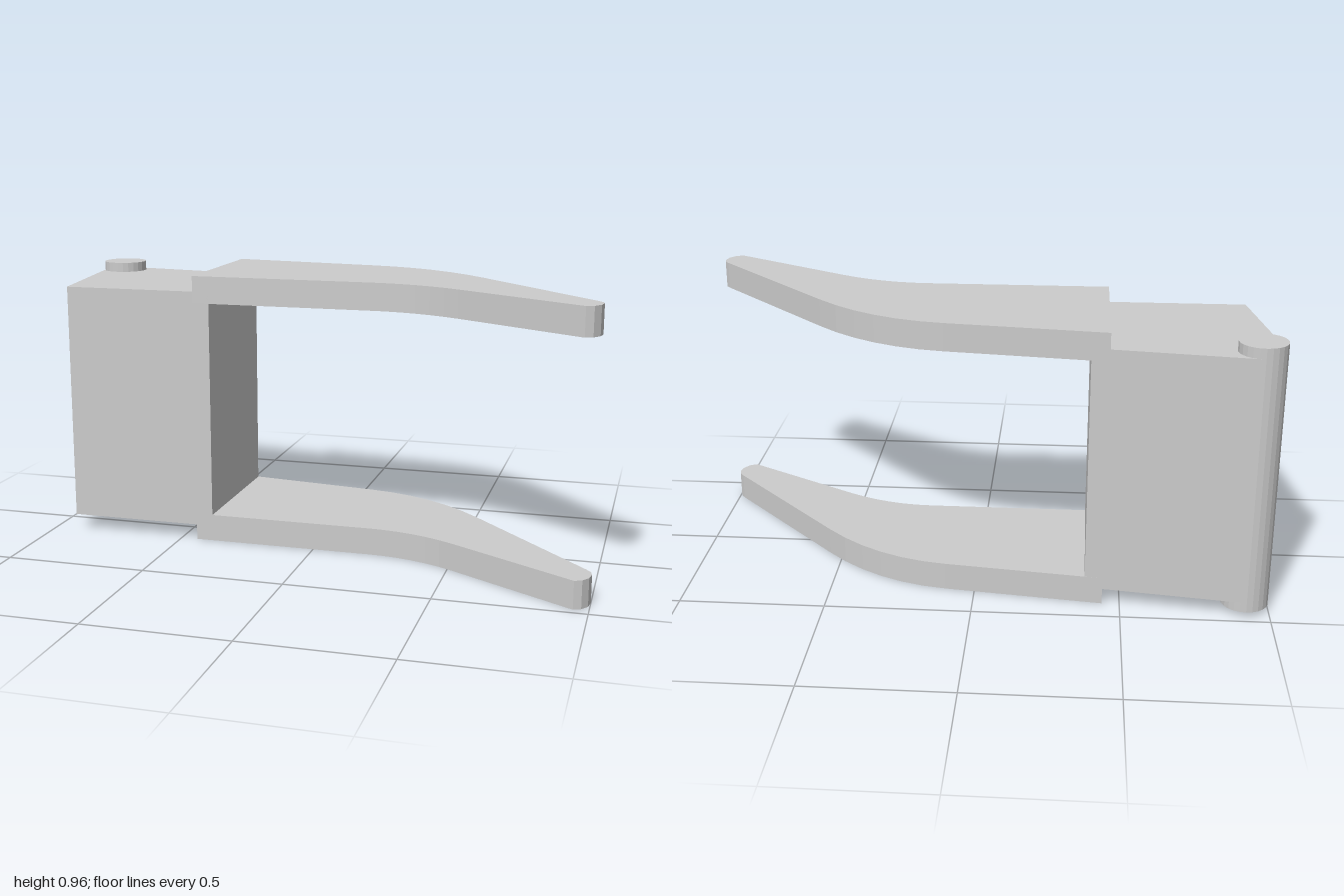
import * as THREE from 'three';

const material = new THREE.MeshStandardMaterial({ color: 0xcccccc, flatShading: true });

// Extrude a plan outline (x, -z) upward from y0 to y1
function slab(name, shape, y0, y1) {
  const geometry = new THREE.ExtrudeGeometry(shape, { depth: y1 - y0, bevelEnabled: false, curveSegments: 6 });
  geometry.rotateX(-Math.PI / 2).translate(0, y0, 0);
  const mesh = new THREE.Mesh(geometry, material);
  mesh.name = name;
  return mesh;
}

export function createModel() {
  const group = new THREE.Group();
  group.name = 'hingedFork';

  // Block at the hinge end, its back corner wrapped by the pin
  const block = new THREE.Shape();
  block.moveTo(-0.92, -0.13);
  block.lineTo(-0.38, -0.13);
  block.lineTo(-0.38, 0.403);
  block.lineTo(-0.91, 0.474);
  block.lineTo(-0.92, 0.395);
  block.lineTo(-0.999, 0.383);
  block.closePath();
  group.add(slab('hingeBlock', block, 0.055, 0.91));

  // Curved prong with a rounded tip
  const prong = new THREE.Shape();
  prong.moveTo(-0.44, -0.13);
  prong.lineTo(0.2, -0.13);
  prong.quadraticCurveTo(0.365, -0.13, 0.52, -0.22);
  prong.lineTo(0.95, -0.473);
  prong.lineTo(0.975, -0.462);
  prong.lineTo(0.994, -0.435);
  prong.lineTo(1, -0.4);
  prong.lineTo(0.995, -0.378);
  prong.lineTo(0.98, -0.358);
  prong.lineTo(0.55, 0.1);
  prong.quadraticCurveTo(0.35, 0.315, 0.1, 0.345);
  prong.lineTo(-0.44, 0.411);
  prong.closePath();
  group.add(slab('lowerProng', prong, 0, 0.096));
  group.add(slab('upperProng', prong, 0.869, 0.965));

  // Hinge pin standing proud of the block at both ends
  const pin = new THREE.Mesh(new THREE.CylinderGeometry(0.08, 0.08, 0.925, 24), material);
  pin.name = 'hingePin';
  pin.position.set(-0.92, 0.4825, -0.395);
  group.add(pin);

  return group;
}
